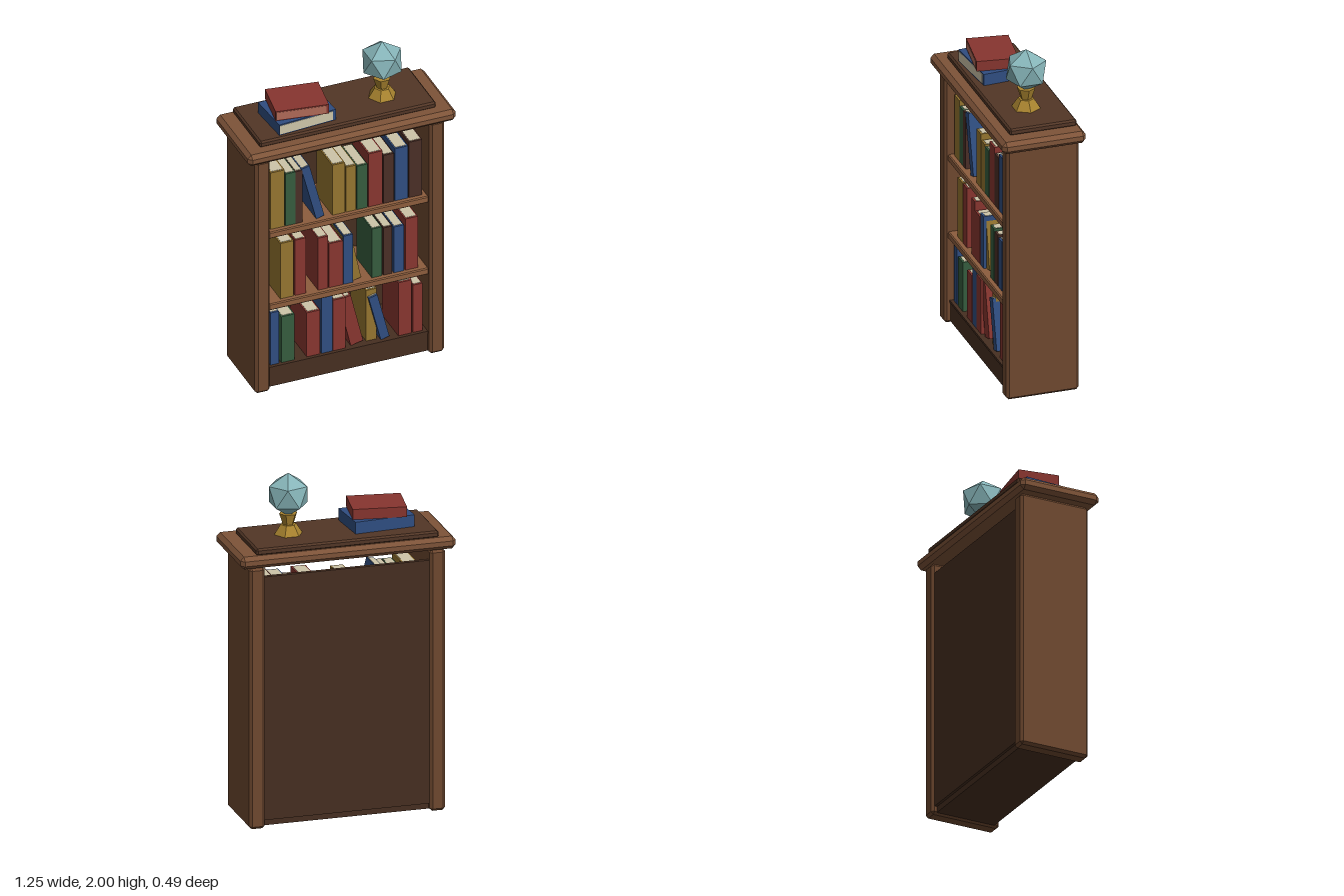
import * as THREE from 'three';
import { ConvexGeometry } from 'three/addons/geometries/ConvexGeometry.js';

const COLORS = {
  side: 0x6e482f, frame: 0x7d5338, inset: 0x523626, back: 0x462e20, shelf: 0x8c5d3d,
  gold: 0x94742f, green: 0x355c3e, blue: 0x2f4d80, red: 0x87352f, brown: 0x4a2e26,
  pages: 0xcdc4a8, rose: 0xb06a58, brass: 0xa8832f, glass: 0x86b4b8,
};
const materials = {};
for (const key in COLORS) {
  materials[key] = new THREE.MeshStandardMaterial({ color: COLORS[key], flatShading: true });
}

function add(parent, name, geometry, color, x = 0, y = 0, z = 0) {
  const mesh = new THREE.Mesh(geometry, materials[color]);
  mesh.name = name;
  mesh.position.set(x, y, z);
  parent.add(mesh);
  return mesh;
}

// Box with every edge chamfered by c
function chamferBox(w, h, d, c) {
  const points = [];
  for (const sx of [-1, 1]) for (const sy of [-1, 1]) for (const sz of [-1, 1]) {
    const [x, y, z] = [w / 2, h / 2, d / 2];
    points.push(
      new THREE.Vector3(sx * x, sy * (y - c), sz * (z - c)),
      new THREE.Vector3(sx * (x - c), sy * y, sz * (z - c)),
      new THREE.Vector3(sx * (x - c), sy * (y - c), sz * z));
  }
  return new ConvexGeometry(points);
}

// Upright book centred on its origin: spine faces +z, pages show on top
function makeBook(name, w, h, d, color, pageColor = 'pages') {
  const book = new THREE.Group();
  book.name = name;
  add(book, 'cover', new THREE.BoxGeometry(w, h, d), color);
  add(book, 'pages', new THREE.BoxGeometry(w * 0.8, 0.02, d * 0.94), pageColor, 0, h / 2 - 0.008, -d * 0.02);
  return book;
}

// Each row: shelf height, then books as [centre x, width, height, colour, lean, z shift]
const ROWS = [
  [1.042, [
    [-0.416, 0.085, 0.372, 'gold'], [-0.339, 0.058, 0.342, 'green'], [-0.288, 0.042, 0.342, 'brown'],
    [-0.204, 0.05, 0.36, 'blue', 0.25], [-0.05, 0.075, 0.33, 'gold'], [0.026, 0.06, 0.296, 'gold'],
    [0.092, 0.063, 0.286, 'green'], [0.172, 0.085, 0.35, 'red'], [0.251, 0.063, 0.317, 'brown'],
    [0.328, 0.08, 0.344, 'blue'], [0.413, 0.08, 0.365, 'brown']]],
  [0.568, [
    [-0.36, 0.08, 0.365, 'gold'], [-0.278, 0.066, 0.365, 'red'], [-0.143, 0.06, 0.343, 'red'],
    [-0.066, 0.083, 0.29, 'red'], [0.008, 0.055, 0.318, 'blue'], [0.034, 0.055, 0.31, 'gold', 0.2, -0.015],
    [0.18, 0.06, 0.322, 'green'], [0.246, 0.053, 0.312, 'brown'], [0.312, 0.06, 0.302, 'blue'],
    [0.389, 0.076, 0.338, 'red']]],
  [0.145, [
    [-0.434, 0.05, 0.344, 'blue'], [-0.354, 0.08, 0.302, 'green'], [-0.201, 0.08, 0.29, 'red'],
    [-0.119, 0.064, 0.375, 'blue'], [-0.045, 0.075, 0.334, 'red'], [0.028, 0.076, 0.325, 'red', 0.23, -0.01],
    [0.156, 0.064, 0.334, 'gold', 0, -0.02], [0.194, 0.053, 0.3, 'blue', 0.245],
    [0.349, 0.08, 0.35, 'red'], [0.426, 0.055, 0.312, 'red']]],
];

export function createModel() {
  const model = new THREE.Group();
  model.name = 'bookcase';

  // Carcass
  for (const s of [-1, 1]) {
    add(model, s > 0 ? 'leftSide' : 'rightSide', chamferBox(0.09, 1.53, 0.425, 0.015), 'side', s * 0.523, 0.77, -0.008);
  }
  add(model, 'backPanel', new THREE.BoxGeometry(0.96, 1.425, 0.025), 'back', 0, 0.7625, -0.193);
  add(model, 'base', new THREE.BoxGeometry(0.96, 0.125, 0.36), 'back', 0, 0.0775, -0.01);
  add(model, 'bottomShelf', new THREE.BoxGeometry(0.96, 0.015, 0.36), 'back', 0, 0.1375, -0.005);
  for (const y of [1.042, 0.568]) {
    add(model, 'shelf', chamferBox(0.96, 0.042, 0.37, 0.006), 'shelf', 0, y - 0.021, 0);
  }

  // Crown
  add(model, 'topSlab', chamferBox(1.25, 0.072, 0.49, 0.022), 'frame', 0, 1.574, 0);
  add(model, 'topInset', chamferBox(1.06, 0.04, 0.395, 0.01), 'inset', 0, 1.626, -0.023);

  // Shelved books
  const books = new THREE.Group();
  books.name = 'shelvedBooks';
  for (const [floor, row] of ROWS) {
    row.forEach(([x, w, h, color, lean = 0, shift = 0], i) => {
      const d = 0.22 + 0.008 * (i % 3);
      const book = makeBook('book', w, h, d, color);
      const halfHeight = (h * Math.cos(lean) + w * Math.sin(lean)) / 2;
      book.position.set(x, floor + halfHeight, 0.155 - d / 2 + shift);
      book.rotation.z = lean;
      books.add(book);
    });
  }
  model.add(books);

  // Books lying on top, page edges toward the front
  const stack = [
    ['lowerLyingBook', 0.352, 0.258, 0.07, 'blue', 'pages', 1.68, 0.076],
    ['upperLyingBook', 0.305, 0.238, 0.06, 'red', 'rose', 1.745, -0.145],
  ];
  for (const [name, w, d, h, color, pageColor, y, turn] of stack) {
    const book = makeBook(name, h, d, w, color, pageColor);
    // stand -> lie: local up becomes +z, thickness becomes vertical
    book.quaternion.setFromRotationMatrix(new THREE.Matrix4().makeBasis(
      new THREE.Vector3(0, 1, 0), new THREE.Vector3(0, 0, 1), new THREE.Vector3(1, 0, 0)));
    const holder = new THREE.Group();
    holder.name = name + 'Holder';
    holder.position.set(-0.238, y, 0.008);
    holder.rotation.y = turn;
    holder.add(book);
    model.add(holder);
  }

  // Faceted orb on a six-sided stand
  const orb = new THREE.Group();
  orb.name = 'orbOrnament';
  orb.position.set(0.28, 0, -0.008);
  const hex = (top, bottom, h) => new THREE.CylinderGeometry(top, bottom, h, 6, 1, false, Math.PI / 6);
  add(orb, 'standFoot', hex(0.045, 0.083, 0.058), 'brass', 0, 1.673);
  add(orb, 'standNeck', hex(0.052, 0.03, 0.068), 'brass', 0, 1.732);
  const ball = new THREE.IcosahedronGeometry(0.125, 0);
  ball.rotateZ(-Math.atan(2 / (1 + Math.sqrt(5))));
  add(orb, 'orb', ball, 'glass', 0, 1.875);
  model.add(orb);

  return model;
}
